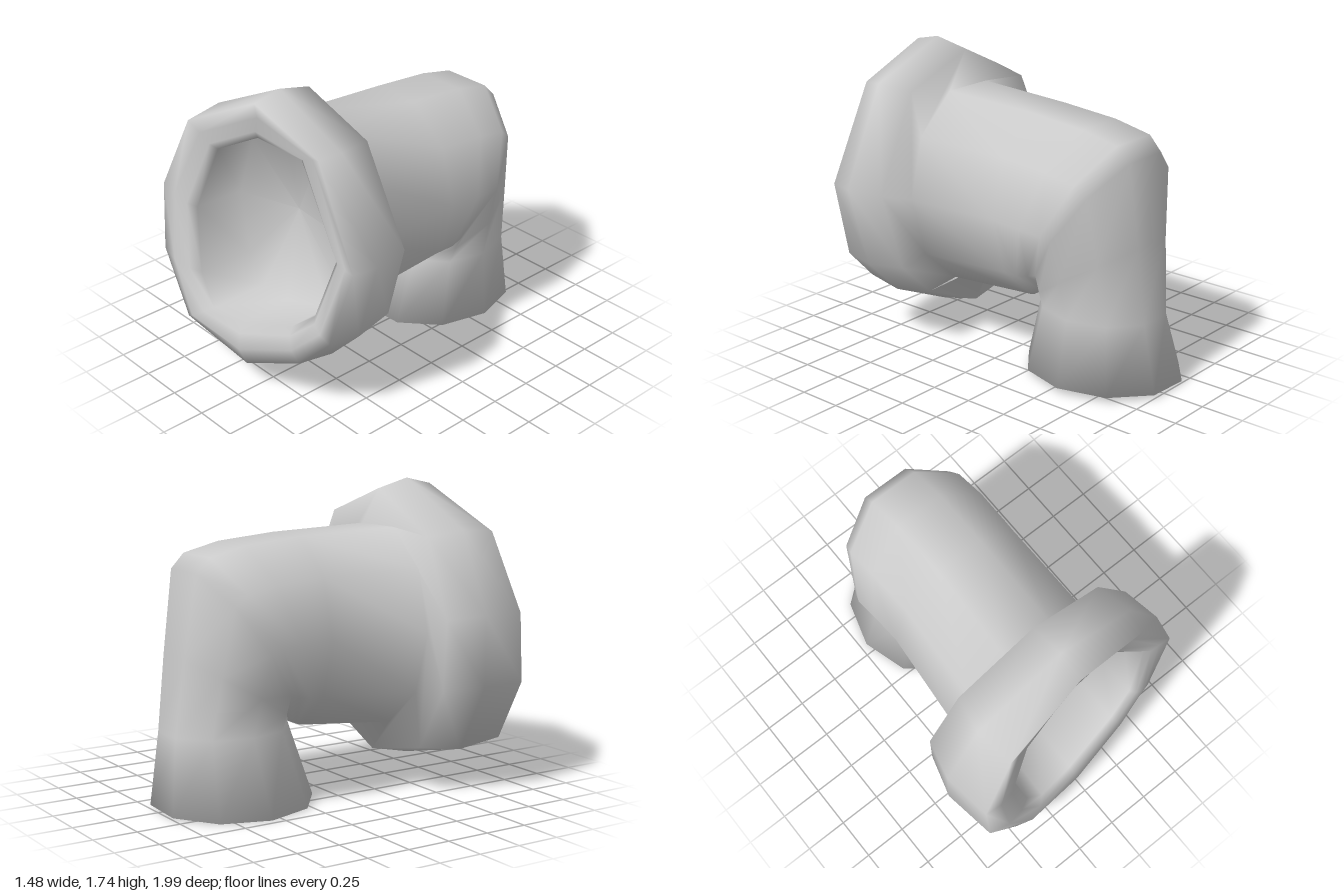
import * as THREE from 'three';

const SIDES = 10;
const V = (x, y, z) => new THREE.Vector3(x, y, z);

// Skins a list of closed rings with smooth normals
function loft(name, rings) {
  const index = [];
  for (let i = 0; i < rings.length - 1; i++) {
    for (let j = 0; j < SIDES; j++) {
      const k = (j + 1) % SIDES;
      const a = i * SIDES + j, b = i * SIDES + k;
      index.push(a, a + SIDES, b, b, a + SIDES, b + SIDES);
    }
  }
  const geometry = new THREE.BufferGeometry().setFromPoints(rings.flat());
  geometry.setIndex(index);
  geometry.computeVertexNormals();
  const mesh = new THREE.Mesh(geometry,
    new THREE.MeshStandardMaterial({ color: 0xcccccc, side: THREE.DoubleSide }));
  mesh.name = name;
  return mesh;
}

// All points of a ring collapsed to one, to close a surface
const pole = (p) => Array.from({ length: SIDES }, () => p.clone());

// Uneven outlines of the flange and its mouth, clockwise from the top
const outer = [[0, 1.74], [0.48, 1.55], [0.74, 1.0], [0.6, 0.52], [0.38, 0.3],
  [-0.02, 0.12], [-0.53, 0.24], [-0.74, 0.63], [-0.74, 1.03], [-0.53, 1.48]];
const mouth = [[-0.05, 1.48], [0.26, 1.46], [0.55, 1.0], [0.44, 0.64], [0.29, 0.52],
  [-0.06, 0.4], [-0.29, 0.4], [-0.4, 0.58], [-0.46, 0.95], [-0.33, 1.33]];

// The lip leans to one side, its outer shoulder less, the back only a little
const lipZ = (x, y) => 0.85 - 0.12 * x - 0.13 * (y - 1);
const shoulderZ = (x, y) => 0.85 - 0.1 * x - 0.07 * (y - 1);
const backZ = (x, y) => 0.415 + 0.03 * (y - 1);

// Ring blended from outer outline (t = 0) to mouth (t = 1)
function flangeRing(t, depth) {
  return outer.map(([ox, oy], j) => {
    const x = ox + (mouth[j][0] - ox) * t, y = oy + (mouth[j][1] - oy) * t;
    return V(x, y, depth(x, y));
  });
}

// Pipe sections from foot to flange:
// [outer z, outer y, inner z, inner y, half width, centre x]
const sections = [
  [-1.0, 0.02, -0.12, 0.02, 0.42, -0.04],
  [-0.935, 0.42, -0.23, 0.42, 0.32, 0.01],
  [-0.89, 0.84, -0.25, 0.45, 0.38, 0],
  [-0.83, 1.3, -0.28, 0.48, 0.45, -0.01],
  [-0.75, 1.38, -0.25, 0.45, 0.47, -0.01],
  [-0.53, 1.43, -0.21, 0.42, 0.47, 0],
  [-0.18, 1.46, -0.18, 0.41, 0.46, 0],
  [0.425, 1.48, 0.405, 0.36, 0.49, -0.02],
];

// Ten-sided section with flat edges at its outer and inner side
function pipeRing([oz, oy, iz, iy, w, cx]) {
  return Array.from({ length: SIDES }, (_, j) => {
    const a = ((j + 0.5) / SIDES) * Math.PI * 2;
    const c = (1 + Math.cos(a) / Math.cos(Math.PI / SIDES)) / 2;
    return V(cx + w * Math.sin(a), iy + (oy - iy) * c, iz + (oz - iz) * c);
  });
}

export function createModel() {
  const group = new THREE.Group();
  group.name = 'pipeElbow';

  // Bent pipe with a slightly slanted foot
  const pipe = sections.map(pipeRing);
  for (const p of pipe[0]) p.y = 0.02 + 0.04 * p.x;

  // Rounded flange, from its back edge over the lip to the mouth
  const flange = [
    flangeRing(0.2, backZ),
    flangeRing(0, () => 0.64),
    flangeRing(0.14, shoulderZ),
    flangeRing(0.5, lipZ),
    flangeRing(0.82, (x, y) => lipZ(x, y) - 0.01),
    flangeRing(1, (x, y) => lipZ(x, y) - 0.04),
  ];

  // Shallow bowl inside the mouth
  const bowl = [
    flangeRing(1.04, () => 0.58),
    pole(V(0, 1, 0.53)),
  ];

  // One continuous skin, closed at the foot
  group.add(loft('flangedElbow',
    [pole(V(-0.04, 0.018, -0.56)), ...pipe, ...flange, ...bowl]));
  return group;
}
